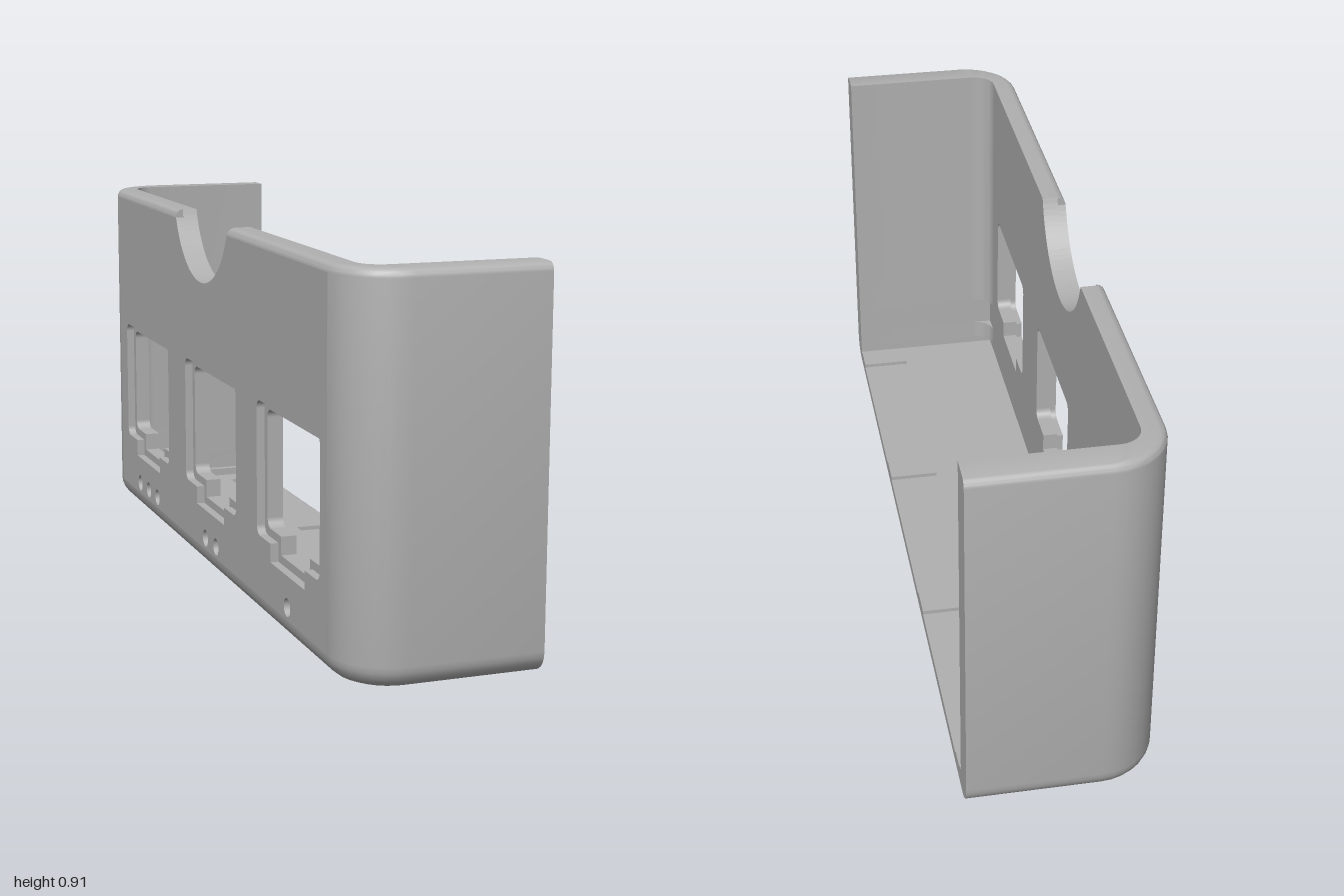
import * as THREE from 'three';
import { toCreasedNormals } from 'three/addons/utils/BufferGeometryUtils.js';

const OPEN_X = 0.227, BACK_X = -0.227, INNER_X = -0.169;
const TOP = 0.907, FLOOR = 0.03, POCKET = 0.02;
const FLAT = 0.86;                       // half length of the flat part of the wall
const BASE_R = 0.055, RIM_R = 0.02;      // edge fillets
const NOTCH = { z: -0.055, y: 0.982, r: 0.237 };
const WINDOWS = [0.603, 0.012, -0.58];
const RECESSES = [[0.85, 0.34], [0.26, -0.25], [-0.33, -0.84]];

const grey = new THREE.MeshStandardMaterial({ color: 0xb0b0b0, side: THREE.DoubleSide });
grey.name = 'grey';

// half width of the finger notch at a height
const notchHalf = y => Math.sqrt(NOTCH.r ** 2 - (NOTCH.y - Math.max(y, RIM_TOP)) ** 2);
const RIM_TOP = TOP - RIM_R;

// U-shaped path around the shell: open end, corner, flat wall, corner, open end
function section({ h, x, r, y, flatX }) {
  const half = [[OPEN_X, h]];
  for (let i = 0; i <= 8; i++) {
    const a = Math.PI / 2 * (1 + i / 8);
    half.push([x + r + r * Math.cos(a), h - r + r * Math.sin(a)]);
  }
  half.push([x, FLAT]);
  const n = notchHalf(y);
  const pts = [...half, [x, NOTCH.z + n], [x, NOTCH.z - n],
    ...half.map(([px, pz]) => [px, -pz]).reverse()];
  return pts.map(([px, pz]) => new THREE.Vector3(flatX ?? px, y, pz));
}

// Cross-sections from the underside, up the outside, over the rim and down the inside
function shellRows() {
  const rows = [];
  const outer = (inset, y, skip, extra) => rows.push(
    { h: 1 - inset, x: BACK_X + inset, r: 0.14 - inset, y, skip, ...extra });
  const inner = (r, y, skip = 'flat') => rows.push({ h: 0.925, x: INNER_X, r, y, skip });
  outer(BASE_R, 0, '', { flatX: OPEN_X });
  for (let k = 0; k <= 6; k++) {
    const a = k / 6 * Math.PI / 2;
    outer(BASE_R * (1 - Math.sin(a)), BASE_R * (1 - Math.cos(a)), k === 6 ? 'flat' : '');
  }
  for (let k = 0; k <= 5; k++) {
    const a = k / 5 * Math.PI / 2;
    outer(RIM_R * (1 - Math.cos(a)), RIM_TOP + RIM_R * Math.sin(a), 'notch');
  }
  // inside corners are relieved to square in two bands
  inner(0.055, TOP);
  inner(0.055, 0.18);
  inner(0, 0.18);
  inner(0, 0.10);
  inner(0.055, 0.10);
  inner(0.055, 0.05);
  inner(0, 0.05);
  inner(0, FLOOR, '');
  rows.push({ h: 0.925, x: INNER_X, r: 0, y: FLOOR, flatX: 0.10 });
  return rows;
}

function loftShell(rows) {
  const rings = rows.map(section), pos = [];
  const tri = new THREE.Triangle();
  const add = (a, b, c) => {
    if (tri.set(a, b, c).getArea() > 1e-8) for (const p of [a, b, c]) pos.push(p.x, p.y, p.z);
  };
  for (let j = 0; j < rings.length - 1; j++) {
    for (let i = 0; i < rings[j].length - 1; i++) {
      if (rows[j].skip === 'flat' && i >= 10 && i <= 12) continue;
      if (rows[j].skip === 'notch' && i === 11) continue;
      const a = rings[j][i], b = rings[j][i + 1], c = rings[j + 1][i + 1], d = rings[j + 1][i];
      add(a, d, b);
      add(b, d, c);
    }
  }
  const g = new THREE.BufferGeometry();
  g.setAttribute('position', new THREE.Float32BufferAttribute(pos, 3));
  return toCreasedNormals(g, Math.PI / 6);
}

// Flat wall outline in (z, y) with the round finger notch
function wallShape(bottom, top) {
  const a = Math.asin((NOTCH.y - top) / NOTCH.r);
  const s = new THREE.Shape();
  s.moveTo(-FLAT, bottom).lineTo(FLAT, bottom).lineTo(FLAT, top);
  s.absarc(NOTCH.z, NOTCH.y, NOTCH.r, -a, -Math.PI + a, true);
  s.lineTo(-FLAT, top);
  return s;
}

// Rounded socket opening with a tab slot below, grown by o
function windowPath(c, o) {
  const w = 0.195 + o, t = 0.097 + o, y0 = 0.225 - o, y1 = 0.51 + o, yt = 0.18 - o, r = 0.022;
  const p = new THREE.Path();
  p.moveTo(c - t, yt).lineTo(c + t, yt).lineTo(c + t, y0).lineTo(c + w - r, y0);
  p.absarc(c + w - r, y0 + r, r, -Math.PI / 2, 0);
  p.absarc(c + w - r, y1 - r, r, 0, Math.PI / 2);
  p.absarc(c - w + r, y1 - r, r, Math.PI / 2, Math.PI);
  p.absarc(c - w + r, y0 + r, r, Math.PI, Math.PI * 1.5);
  p.lineTo(c - t, y0);
  return p;
}

// Extrude a (z, y) shape from xHigh towards -x
function slab(shape, xHigh, depth) {
  const g = new THREE.ExtrudeGeometry(shape, { depth, bevelEnabled: false, curveSegments: 20 });
  return g.rotateY(-Math.PI / 2).translate(xHigh, 0, 0);
}

// Floor surface line along the open edge, dipping into each recess
const floorLine = () => [[0.925, FLOOR],
  ...RECESSES.flatMap(([a, b]) => [[a, FLOOR], [a, 0.02], [b, 0.02], [b, FLOOR]]),
  [-0.925, FLOOR]];

const polygon = pts => new THREE.Shape(pts.map(([u, v]) => new THREE.Vector2(u, v)));

export function createModel() {
  const model = new THREE.Group();
  model.name = 'wallCover';
  const add = (name, geometry) => {
    const m = new THREE.Mesh(geometry, grey);
    m.name = name;
    model.add(m);
  };

  const rows = shellRows();
  add('shell', loftShell(rows));

  // Outer wall layer: stepped window recesses and one, two and three marker dimples
  const outerWall = wallShape(BASE_R, RIM_TOP);
  WINDOWS.forEach((c, i) => {
    outerWall.holes.push(windowPath(c, 0.02));
    for (let k = 0; k <= i; k++) {
      const dot = new THREE.Path();
      dot.absarc(c + (k - i / 2) * 0.09, 0.085, 0.022, 0, Math.PI * 2);
      outerWall.holes.push(dot);
    }
  });
  add('outerWall', slab(outerWall, BACK_X + POCKET, POCKET));

  // Inner wall layer: through windows
  const innerWall = wallShape(FLOOR, TOP);
  for (const c of WINDOWS) innerWall.holes.push(windowPath(c, 0));
  add('innerWall', slab(innerWall, INNER_X, INNER_X - BACK_X - POCKET));

  // Ends of the rim fillet beside the finger notch
  for (const s of [-1, 1]) {
    const cap = new THREE.CircleGeometry(RIM_R, 5, Math.PI / 2, Math.PI / 2);
    add('rimEnd', cap.translate(BACK_X + RIM_R, RIM_TOP, NOTCH.z + s * 0.221));
  }

  // Recessed floor strip along the open side
  add('floorLip', slab(polygon([...floorLine(), [-0.925, 0.008], [0.925, 0.008]]), OPEN_X - 0.001, 0.126));

  // Flat face of the open side
  const profile = rows.slice(1, -2).map(({ h, y }) => [h, y]);
  const edge = polygon([...profile, ...floorLine(), ...profile.map(([h, y]) => [-h, y]).reverse()]
    .filter((p, i, all) => !i || Math.hypot(p[0] - all[i - 1][0], p[1] - all[i - 1][1]) > 1e-6));
  add('openEdge', new THREE.ShapeGeometry(edge).rotateY(-Math.PI / 2).scale(1, 1, 1).translate(OPEN_X, 0, 0));

  // Low ledge at the foot of the rear end wall
  const ledge = new THREE.BoxGeometry(OPEN_X - INNER_X, 0.02, 0.02);
  add('rearLedge', ledge.translate((OPEN_X + INNER_X) / 2, FLOOR + 0.01, -0.915));

  return model;
}
